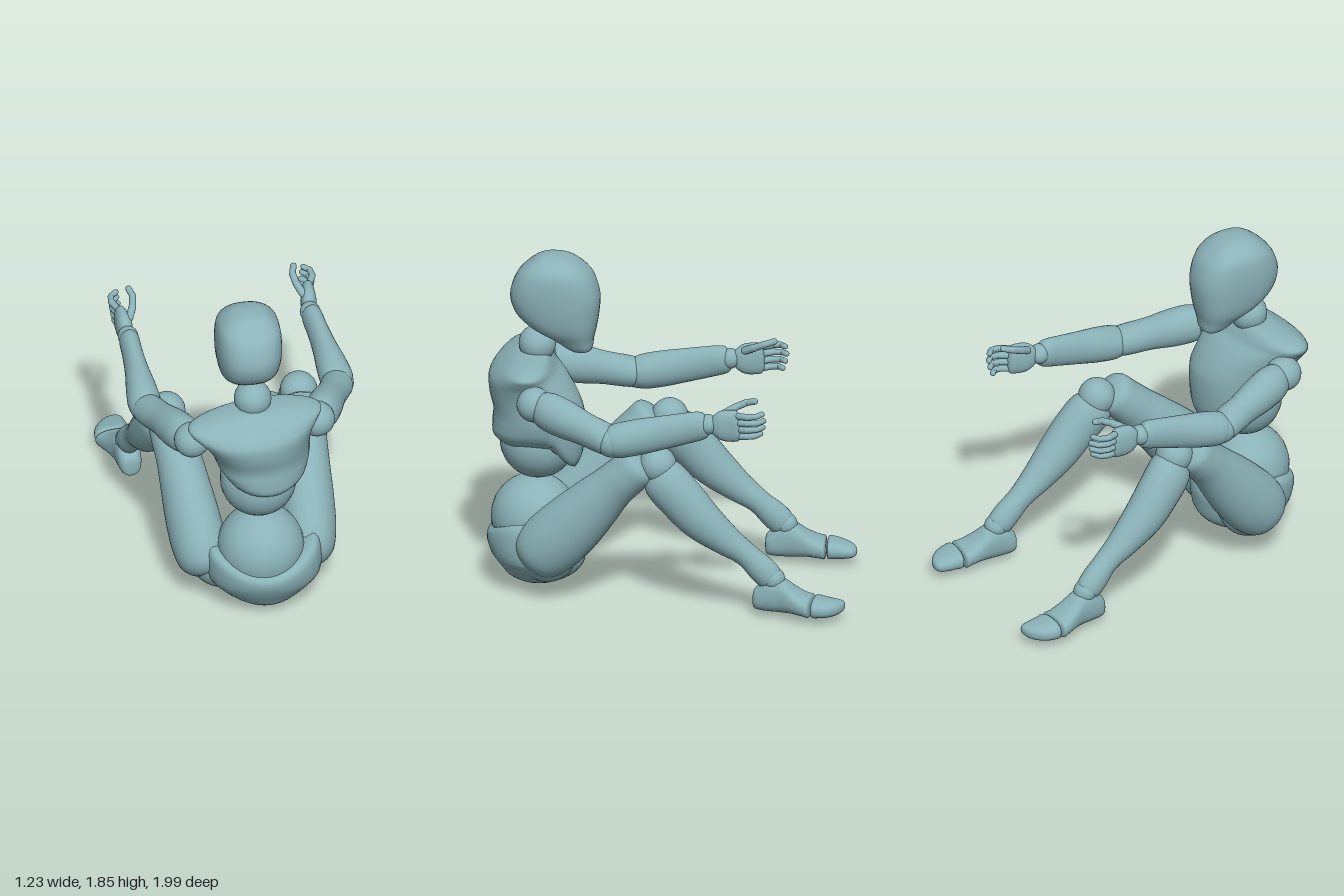
import * as THREE from 'three';

const material = new THREE.MeshStandardMaterial({ color: 0x8ab2b8 });
const V = (x, y, z) => new THREE.Vector3(x, y, z);
const UP = V(0, 1, 0);
const clamp01 = x => Math.max(0, Math.min(1, x));

function add(parent, name, geometry) {
  const mesh = new THREE.Mesh(geometry, material);
  mesh.name = name;
  parent.add(mesh);
  return mesh;
}

function ball(parent, name, p, r) {
  add(parent, name, new THREE.SphereGeometry(r, 28, 20)).position.copy(p);
}

// Catmull-Rom blend of one column of the section table
function blend(rows, i, f, c) {
  const at = k => rows[Math.min(rows.length - 1, Math.max(0, k))][c] || 0;
  const [a, b, d, e] = [at(i - 1), at(i), at(i + 1), at(i + 2)];
  return b + 0.5 * f * (d - a + f * (2 * a - 5 * b + 4 * d - e + f * (3 * (b - d) + e - a)));
}

// Smooth body from A to B; each row is [t, width radius, depth radius, width offset, depth offset].
// Sections are ellipses, squarer as the exponent rises above 2.
function loft(parent, name, A, B, rows, exponent = 2, warp = null) {
  const n = 32, steps = 4, pos = [], index = [];
  const d = B.clone().sub(A), dir = d.clone().normalize();
  const u = Math.abs(dir.y) > 0.99 ? V(1, 0, 0) : dir.clone().cross(UP).normalize();
  const v = u.clone().cross(dir);
  const round = x => Math.sign(x) * Math.abs(x) ** (2 / exponent);
  const rings = (rows.length - 1) * steps + 1;
  for (let i = 0; i < rings; i++) {
    const k = Math.min(rows.length - 2, Math.floor(i / steps)), f = i / steps - k;
    const [t, ru, rv, ou, ov] = [0, 1, 2, 3, 4].map(c => blend(rows, k, f, c));
    for (let j = 0; j < n; j++) {
      const a = (j / n) * Math.PI * 2;
      const p = A.clone().addScaledVector(d, t)
        .addScaledVector(u, ou + Math.max(0, ru) * round(Math.cos(a)))
        .addScaledVector(v, ov + Math.max(0, rv) * round(Math.sin(a)));
      if (warp) warp(p);
      pos.push(p.x, p.y, p.z);
      if (i < rings - 1) {
        const q = i * n + j, r = i * n + (j + 1) % n;
        index.push(q, q + n, r, r, q + n, r + n);
      }
    }
  }
  const g = new THREE.BufferGeometry();
  g.setAttribute('position', new THREE.Float32BufferAttribute(pos, 3));
  g.setIndex(index);
  g.computeVertexNormals();
  add(parent, name, g);
}

// Chain of rounded finger bones
function finger(parent, name, points, r) {
  for (let i = 0; i < points.length - 1; i++) {
    const d = points[i + 1].clone().sub(points[i]);
    const bone = add(parent, name, new THREE.CapsuleGeometry(r * (1 - i * 0.08), d.length() * 0.85, 5, 12));
    bone.position.copy(points[i]).addScaledVector(d, 0.5);
    bone.quaternion.setFromUnitVectors(UP, d.normalize());
  }
}

function buildTrunk(g) {
  const O = V(0, 0, 0);
  loft(g, 'head', O, UP, [
    [1.305, 0, 0, -.03, .49], [1.315, .065, .055, -.03, .49], [1.38, .108, .11, -.03, .532],
    [1.44, .143, .172, -.03, .58], [1.52, .164, .222, -.03, .617], [1.62, .174, .24, -.03, .63],
    [1.72, .171, .212, -.03, .63], [1.78, .152, .165, -.03, .63], [1.83, .098, .098, -.03, .632],
    [1.846, .045, .045, -.03, .635], [1.85, 0, 0, -.03, .635]], 2.5);
  ball(g, 'neck', V(-.022, 1.335, .725), .1);
  // Rib cage: turned shoulders, lower rim arched over the sides and longer in front
  loft(g, 'chest', O, UP, [
    [.78, 0, 0, .05, .72], [.785, .16, .18, .05, .72], [.82, .22, .238, .045, .722],
    [.9, .25, .25, .035, .715], [.99, .262, .246, .03, .715], [1.08, .28, .238, .01, .745],
    [1.16, .315, .212, -.01, .775], [1.21, .352, .172, -.02, .785], [1.25, .365, .138, -.02, .775],
    [1.28, .29, .105, -.02, .76], [1.3, .15, .07, -.02, .75], [1.305, 0, 0, -.02, .75]], 2.15, p => {
    const k = clamp01((.97 - p.y) / .18), front = clamp01((.64 - p.z) / .12);
    p.y += k * (1.6 * (p.x - .05) ** 2 * (1 - front) - .1 * front + .03 * clamp01((p.z - .85) / .1));
    p.z -= .13 * (p.x + .02);
  });
  ball(g, 'abdomen', V(.01, .8, .715), .205);
  ball(g, 'waistBall', V(.02, .37, .735), .232);
  // Pelvis bowl with a rim rising at both hips
  loft(g, 'pelvis', O, UP, [
    [.005, 0, 0, .05, .71], [.012, .05, .06, .05, .71], [.06, .16, .165, .045, .7],
    [.12, .245, .222, .04, .69], [.2, .305, .254, .04, .708], [.27, .312, .265, .035, .718],
    [.32, .29, .25, .03, .725], [.345, .22, .19, .03, .73], [.345, 0, 0, .03, .73]], 2, p => {
    p.y += clamp01((p.y - .2) / .13) * (1.35 * (p.x - .02) ** 2 - .025);
  });
}

function buildLeg(g, side, s, hip, knee, ankle, yaw) {
  const leg = new THREE.Group();
  leg.name = side + 'Leg';
  g.add(leg);
  ball(leg, 'hipBall', V(s * .2 + .02, .24, .63), .16);
  const thighEnd = knee.clone().add(V(0, -.01, .1));
  loft(leg, 'thigh', hip, thighEnd, [
    [-.1, 0, 0], [-.08, .07, .09], [0, .125, .15], [.15, .145, .173], [.35, .143, .168],
    [.55, .132, .148, 0, .004], [.75, .122, .122, 0, .008], [.9, .122, .116, 0, .004],
    [1.03, .105, .105], [1.07, 0, 0]]);
  ball(leg, 'kneeBall', knee, .1);
  loft(leg, 'shin', knee, ankle, [
    [0, 0, 0, 0, -.03], [.02, .07, .08, 0, -.03], [.09, .11, .122, s * .01, -.03],
    [.25, .11, .125, s * .02, -.033], [.45, .102, .112, s * .02, -.038], [.65, .08, .084, s * .01, -.022],
    [.8, .064, .066, 0, 0], [.93, .066, .075, 0, .005], [1.02, .055, .065, 0, .005], [1.04, 0, 0, 0, .005]]);
  // Foot points along -z before it is turned
  const foot = new THREE.Group();
  foot.name = side + 'Foot';
  foot.position.set(ankle.x, 0, ankle.z);
  foot.rotation.y = yaw;
  leg.add(foot);
  ball(foot, 'ankleBall', V(0, .215, -.025), .062);
  const back = V(0, 0, 0), ahead = V(0, 0, -1);
  loft(foot, 'footBody', back, ahead, [
    [-.085, 0, 0, 0, .1], [-.08, .04, .05, 0, .1], [-.05, .06, .07, 0, .11], [0, .066, .095, 0, .13],
    [.07, .07, .095, 0, .13], [.14, .085, .07, s * .005, .108], [.2, .097, .056, s * .01, .09],
    [.235, .098, .05, s * .01, .084], [.24, 0, 0, s * .01, .084]], 2.4);
  loft(foot, 'toes', back, ahead, [
    [.245, 0, 0, s * .01, .085], [.25, .09, .05, s * .01, .085], [.29, .095, .05, s * .01, .083],
    [.34, .083, .043, 0, .08], [.38, .06, .034, -s * .018, .08],
    [.402, .03, .02, -s * .03, .082], [.408, 0, 0, -s * .03, .082]], 2.4);
}

function buildArm(g, side, s, shoulder, elbow, wrist) {
  const arm = new THREE.Group();
  arm.name = side + 'Arm';
  g.add(arm);
  ball(arm, 'shoulderBall', shoulder, .095);
  loft(arm, 'upperArm', shoulder, elbow, [
    [.03, 0, 0], [.05, .06, .075], [.18, .092, .104], [.4, .094, .104], [.65, .082, .09],
    [.88, .086, .085], [.98, .078, .072], [1.02, 0, 0]]);
  ball(arm, 'elbowBall', elbow, .083);
  loft(arm, 'forearm', elbow, wrist, [
    [-.06, 0, 0], [-.04, .06, .065], [.04, .088, .092], [.25, .082, .098], [.5, .064, .093],
    [.75, .055, .086], [.93, .054, .078], [.99, .04, .055], [1, 0, 0]]);
  ball(arm, 'wristBall', wrist, .055);
  // Hand: offsets from the wrist, x measured outward, fingers curl inward
  const hand = new THREE.Group();
  hand.name = side + 'Hand';
  hand.position.copy(wrist);
  arm.add(hand);
  const P = (x, y, z) => V(s * x, y, z);
  loft(hand, 'palm', P(0, -.005, -.02), P(.018, .008, -.185), [
    [0, 0, 0], [.04, .028, .045], [.3, .042, .08], [.65, .038, .088], [.92, .03, .076], [1, 0, 0]], 2.3);
  for (let i = 0; i < 4; i++) {
    const y = -.05 + i * .039, reach = [.86, .96, 1, .94][i], lean = .006 * i;
    finger(hand, 'finger', [
      P(.02 + lean * .5, y, -.17), P(.034 + lean, y + .006, -.17 - .055 * reach),
      P(.028 + lean, y + .01, -.17 - .105 * reach), P(-.005 + lean, y + .014, -.17 - .135 * reach)], .0185);
  }
  finger(hand, 'thumb', [P(-.02, .055, -.08), P(-.05, .09, -.145), P(-.06, .115, -.2), P(-.045, .13, -.25)], .021);
}

export function createModel() {
  const g = new THREE.Group();
  g.name = 'sittingFigure';
  buildTrunk(g);
  buildLeg(g, 'left', 1, V(.3, .25, .67), V(.355, .83, .01), V(.345, .22, -.59), -.07);
  buildLeg(g, 'right', -1, V(-.28, .25, .67), V(-.37, .83, .07), V(-.475, .22, -.515), .1);
  buildArm(g, 'left', 1, V(.335, 1.12, .68), V(.53, 1.01, .23), V(.468, 1.12, -.28));
  buildArm(g, 'right', -1, V(-.355, 1.12, .75), V(-.52, 1.01, .27), V(-.525, 1.12, -.23));
  return g;
}
